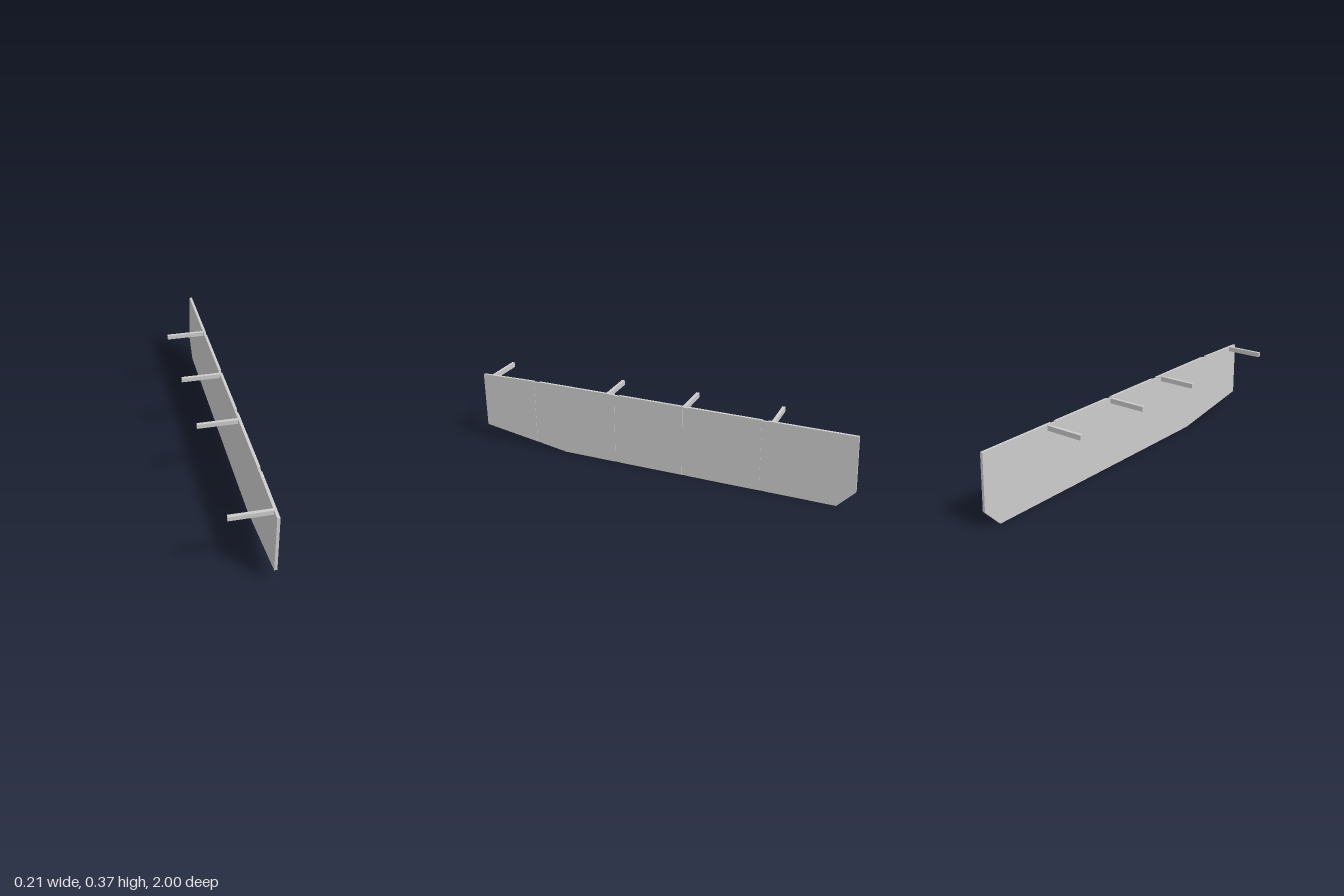
import * as THREE from 'three';

const material = new THREE.MeshStandardMaterial({ color: 0xcccccc, flatShading: true });

// Upper and lower edges of the long panel, as [z, y] from back to front
const TOP = [[-1, 0.09], [-0.99, 0.371], [0.65, 0.371], [1, 0.364]];
const BOTTOM = [[-1, 0.09], [-0.915, 0], [0.52, 0], [1, 0.075]];

function heightAt(edge, z) {
  for (let i = 1; i < edge.length; i++) {
    const [z0, y0] = edge[i - 1], [z1, y1] = edge[i];
    if (z <= z1) return y0 + (y1 - y0) * (z - z0) / (z1 - z0);
  }
  return edge[edge.length - 1][1];
}

// Extrudes a [z, y] outline along x, from x0 to x1
function slab(name, outline, x0, x1) {
  const shape = new THREE.Shape(outline.map(([z, y]) => new THREE.Vector2(-z, y)));
  const geometry = new THREE.ExtrudeGeometry(shape, { depth: x1 - x0, bevelEnabled: false });
  geometry.rotateY(Math.PI / 2).translate(x0, 0, 0);
  const mesh = new THREE.Mesh(geometry, material);
  mesh.name = name;
  return mesh;
}

// Part of the panel outline between two z positions
function section(z0, z1, drop = 0) {
  const run = (edge) => [
    [z0, heightAt(edge, z0)],
    ...edge.filter(([z]) => z > z0 && z < z1),
    [z1, heightAt(edge, z1)],
  ];
  const top = run(TOP).map(([z, y]) => [z, y - drop]);
  const bottom = run(BOTTOM).reverse();
  if (z0 === -1) bottom.pop(); // both edges meet at the back corner
  return [...top, ...bottom];
}

export function createModel() {
  const model = new THREE.Group();
  model.name = 'sidePanelWithBrackets';

  // Panel boards separated by narrow recessed joint strips
  const joints = [-0.549, -0.147, 0.221, 0.681];
  const half = 0.0135;
  let start = -1;
  for (const z of joints) {
    model.add(slab('panelBoard', section(start, z - half), 0.091, 0.105));
    model.add(slab('jointStrip', section(z - half, z + half, 0.004), 0.091, 0.103));
    start = z + half;
  }
  model.add(slab('panelBoard', section(start, 1), 0.091, 0.105));

  // Mounting arms reaching inward, slightly skewed, with a sloping underside
  for (const z of [-0.582, -0.135, 0.281, 0.946]) {
    const outline = [[-0.008, 0.366], [0.008, 0.366], [0.008, 0.344], [-0.008, 0.341]];
    const arm = slab('mountingArm', outline, -0.105, 0.092);
    const p = arm.geometry.attributes.position;
    for (let i = 0; i < p.count; i++) p.setZ(i, p.getZ(i) - 0.02 * p.getX(i));
    arm.geometry.computeVertexNormals();
    arm.position.z = z;
    model.add(arm);
  }
  return model;
}
